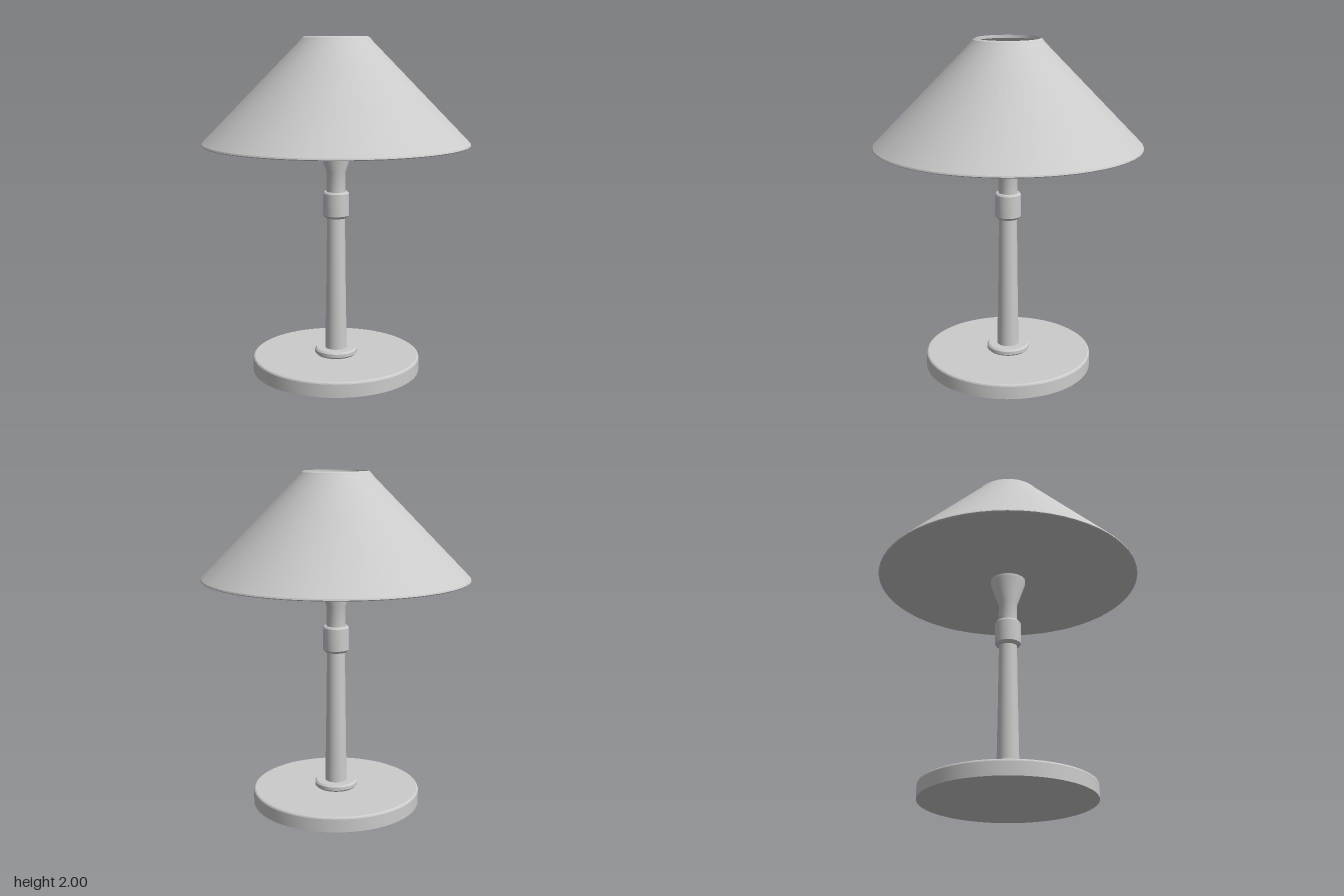
import * as THREE from 'three';
import { toCreasedNormals } from 'three/addons/utils/BufferGeometryUtils.js';

const material = new THREE.MeshStandardMaterial({ color: 0xcccccc, side: THREE.DoubleSide });

// Turned part from a [radius, height] profile, listed from the bottom up
function turned(name, profile, segments = 64) {
  const points = profile.map(([r, y]) => new THREE.Vector2(r, y));
  const geometry = toCreasedNormals(new THREE.LatheGeometry(points, segments), 0.4);
  const mesh = new THREE.Mesh(geometry, material);
  mesh.name = name;
  return mesh;
}

export function createModel() {
  const lamp = new THREE.Group();
  lamp.name = 'tableLamp';

  // Heavy round foot with a softened upper edge
  lamp.add(turned('base', [
    [0, 0], [0.505, 0], [0.505, 0.078], [0.502, 0.085], [0.494, 0.09], [0, 0.09],
  ]));

  // Small flange where the stem meets the foot
  lamp.add(turned('baseCollar', [
    [0, 0.085], [0.118, 0.09], [0.128, 0.1], [0.128, 0.12], [0.118, 0.13], [0, 0.13],
  ], 48));

  // Tapered stem
  lamp.add(turned('stem', [
    [0, 0.12], [0.066, 0.12], [0.059, 0.55], [0.054, 0.94], [0, 0.95],
  ], 32));

  // Chamfered ring
  lamp.add(turned('stemRing', [
    [0, 0.935], [0.062, 0.935], [0.077, 0.95], [0.077, 1.083], [0.07, 1.093], [0, 1.093],
  ], 32));

  // Neck flaring out to carry the shade
  lamp.add(turned('neck', [
    [0, 1.085], [0.056, 1.085], [0.056, 1.21], [0.106, 1.355], [0.106, 1.38], [0, 1.38],
  ], 32));

  // Hollow conical shade, open at the top and closed below by a flat disc
  lamp.add(turned('shade', [
    [0, 1.375], [0.783, 1.375], [0.789, 1.38], [0.786, 1.388],
    [0.21, 1.977], [0.2, 1.992], [0.186, 2], [0.185, 1.982],
    [0.762, 1.39], [0, 1.385],
  ]));

  return lamp;
}
